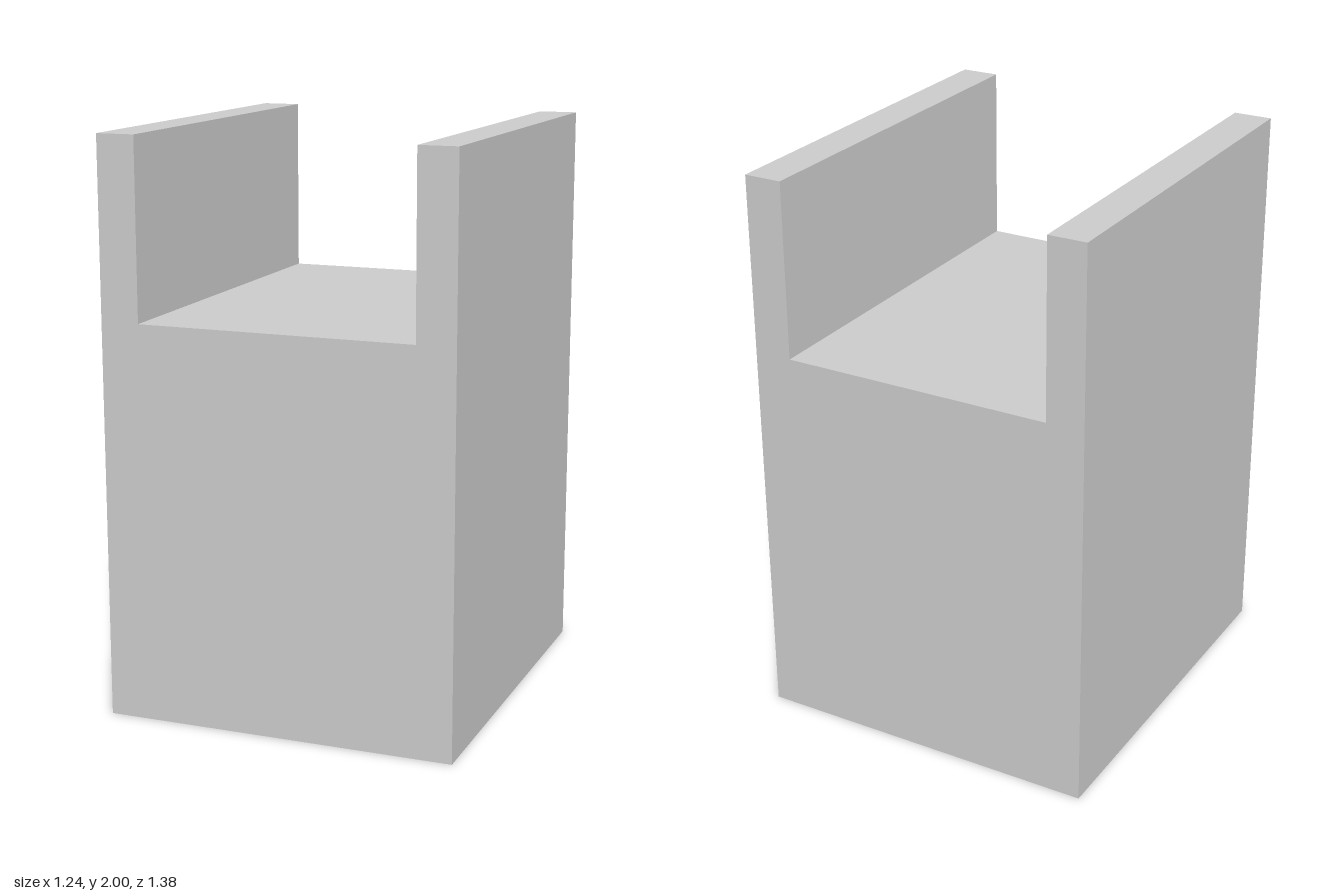
import * as THREE from 'three';

// Overall half width, half depth, height; slot half width and floor height
const W = 0.618, D = 0.688, H = 2, SLOT = 0.483, FLOOR = 1.38;

export function createModel() {
  const group = new THREE.Group();
  group.name = 'slottedOpenBox';
  const material = new THREE.MeshStandardMaterial({
    color: 0xcccccc, flatShading: true, side: THREE.DoubleSide,
  });

  const add = (name, geometry) => {
    const mesh = new THREE.Mesh(geometry, material);
    mesh.name = name;
    group.add(mesh);
    return mesh;
  };

  // U-shaped profile, listed from the lower right counter-clockwise; the bottom stays open
  const profile = [
    [W, 0], [W, H], [SLOT, H], [SLOT, FLOOR],
    [-SLOT, FLOOR], [-SLOT, H], [-W, H], [-W, 0],
  ].map(([x, y]) => new THREE.Vector2(x, y));

  // Front and back walls with the slot cut out
  const wall = new THREE.ShapeGeometry(new THREE.Shape(profile));
  add('frontWall', wall).position.z = D;
  const back = add('backWall', wall);
  back.position.z = -D;
  back.rotation.y = Math.PI;

  // One flat panel along each profile edge, facing outward
  const names = ['leftOuterWall', 'leftRim', 'leftSlotWall', 'slotFloor',
    'rightSlotWall', 'rightRim', 'rightOuterWall'];
  names.forEach((name, i) => {
    const a = profile[i], b = profile[i + 1];
    const panel = new THREE.PlaneGeometry(a.distanceTo(b), 2 * D);
    panel.rotateX(-Math.PI / 2);
    panel.rotateZ(Math.atan2(b.y - a.y, b.x - a.x) + Math.PI);
    add(name, panel).position.set((a.x + b.x) / 2, (a.y + b.y) / 2, 0);
  });

  return group;
}
